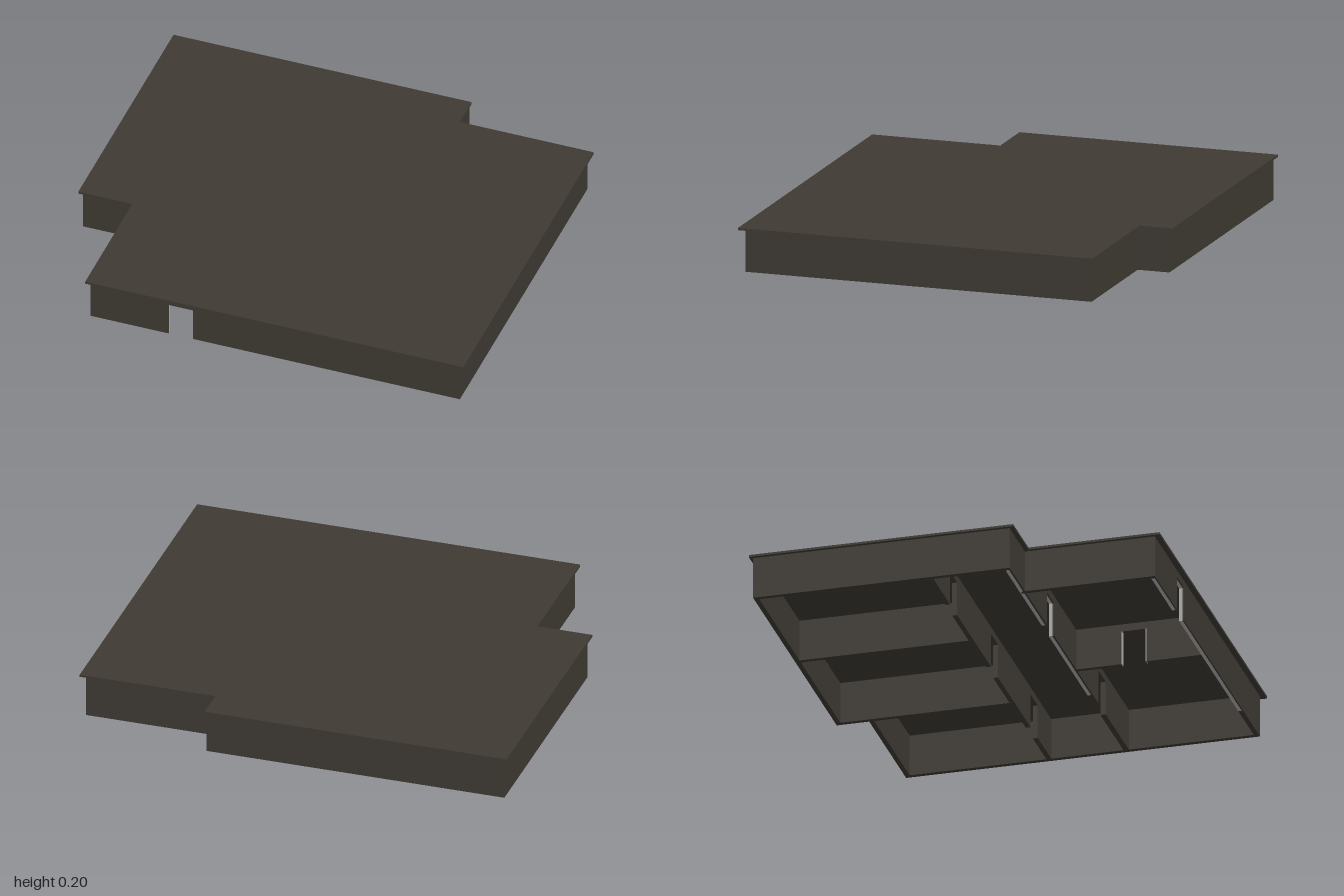
import * as THREE from 'three';

const H = 0.19;      // wall height
const T = 0.022;     // wall thickness
const DOOR_W = 0.114, DOOR_H = 0.156;

export function createModel() {
  const house = new THREE.Group();
  house.name = 'house';
  const brown = new THREE.MeshStandardMaterial({ color: 0x3f3a33 });
  brown.name = 'dark brown';
  const grey = new THREE.MeshStandardMaterial({ color: 0xb4b4b4 });
  grey.name = 'light grey';

  // Upright wall panel from a to b, notched at the floor for each door centre
  function panel(a, b, doors, thickness) {
    const s = new THREE.Shape();
    s.moveTo(a, 0);
    for (const d of doors) {
      s.lineTo(d - DOOR_W / 2, 0);
      s.lineTo(d - DOOR_W / 2, DOOR_H);
      s.lineTo(d + DOOR_W / 2, DOOR_H);
      s.lineTo(d + DOOR_W / 2, 0);
    }
    s.lineTo(b, 0);
    s.lineTo(b, H);
    s.lineTo(a, H);
    s.closePath();
    const g = new THREE.ExtrudeGeometry(s, { depth: thickness, bevelEnabled: false });
    g.translate(0, 0, -thickness / 2);
    return g;
  }
  function add(name, geometry, material) {
    const m = new THREE.Mesh(geometry, material);
    m.name = name;
    house.add(m);
    return m;
  }
  // Wall running along x, centred on the given z
  function wallX(name, z, a, b, doors = [], material = brown, thickness = T) {
    add(name, panel(a, b, doors, thickness), material).position.z = z;
  }
  // Wall running along z, centred on the given x
  function wallZ(name, x, a, b, doors = [], material = brown) {
    const m = add(name, panel(a, b, doors, T), material);
    m.rotation.y = -Math.PI / 2;
    m.position.x = x;
  }

  // Flat roof with two stepped corners
  const outline = [[-1, -0.89], [0.38, -0.89], [0.38, -0.74], [1, -0.74],
    [1, 0.89], [-0.75, 0.89], [-0.75, 0.3], [-1, 0.3]];
  const roofShape = new THREE.Shape(outline.map(([x, z]) => new THREE.Vector2(x, -z)));
  const roof = new THREE.ExtrudeGeometry(roofShape, { depth: 0.01, bevelEnabled: false });
  roof.rotateX(-Math.PI / 2);
  add('roof', roof, brown).position.y = H;

  // Outer walls
  wallX('backWall', -0.864, -0.985, 0.375);
  wallX('backStepWall', -0.718, 0.353, 0.975);
  wallZ('leftWall', 0.964, -0.729, 0.865);
  wallZ('rightWall', -0.974, -0.875, 0.28);
  wallZ('rightStepWall', -0.724, 0.26, 0.865);

  // Front wall: brown outside, light lining inside
  wallX('frontWall', 0.862, -0.735, 0.975, [-0.317], brown, 0.006);
  wallX('frontWallLining', 0.851, -0.713, 0.7, [-0.317], grey, 0.016);
  wallX('frontWallEnd', 0.851, 0.7, 0.953, [], brown, 0.016);

  // Corridor walls
  wallX('corridorBackWall', -0.08, -0.963, 0.953, [-0.635, 0.03, 0.675]);
  wallX('corridorFrontWall', 0.276, -0.985, 0.953, [-0.317, 0.52], brown, 0.008);
  wallX('corridorFrontLining', 0.264, -0.963, 0.37, [-0.317], grey, 0.016);
  wallX('corridorFrontEnd', 0.264, 0.37, 0.953, [0.52], brown, 0.016);

  // Partitions between the rooms
  wallZ('backPartitionLeft', 0.364, -0.875, -0.08);
  wallZ('backPartitionRight', -0.3, -0.864, -0.08);
  wallZ('frontPartition', 0.11, 0.27, 0.845, [0.54]);

  // Light jambs in the partition doorway
  for (const side of [-1, 1]) {
    const jamb = add('doorJamb', new THREE.BoxGeometry(T + 0.002, DOOR_H, 0.004), grey);
    jamb.position.set(0.11, DOOR_H / 2, 0.54 + side * (DOOR_W / 2 - 0.002));
  }
  return house;
}
